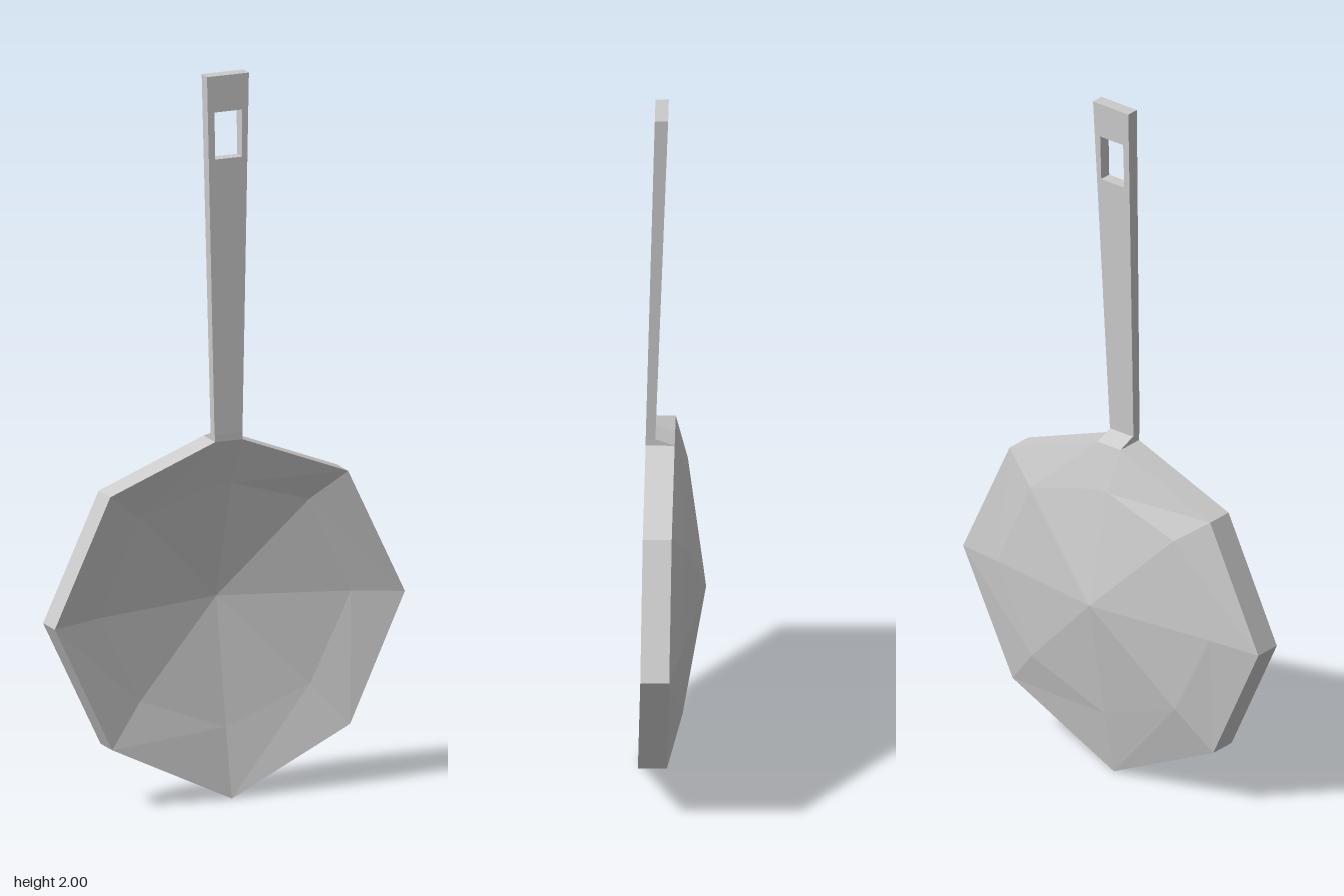
import * as THREE from 'three';

const material = () => new THREE.MeshStandardMaterial({ color: 0xcccccc, flatShading: true, side: THREE.DoubleSide });
const DEPTH = 0.078;

// Half outlines from the bottom tip up the +x side, as [x, y, back z]
const rimHalf = [[0, 0, 0.015], [0.35, 0.17, 0.011], [0.515, 0.52, 0.002], [0.35, 0.87, -0.002], [0.04, 0.99, -0.005]];
const ringHalf = [[0, 0.19, -0.025], [0.25, 0.285, -0.03], [0.37, 0.53, -0.027], [0.25, 0.795, -0.036], [0.02, 0.865, -0.035]];
const mirrored = half => [...half, ...half.slice(1).reverse().map(([x, y, z]) => [-x, y, z])];
const shifted = loop => loop.map(([x, y, z]) => [x, y, z + DEPTH]);

// Faceted shallow bowl: back centre, ring and rim, then front rim, ring and centre
function bowlGeometry() {
  const rim = mirrored(rimHalf), ring = mirrored(ringHalf);
  const centre = rim.map(() => [0, 0.54, -0.089]);
  const loops = [centre, ring, rim, shifted(rim), shifted(ring), shifted(centre)];
  const n = rim.length, pos = [];
  for (let l = 0; l < loops.length - 1; l++) {
    for (let i = 0; i < n; i++) {
      const j = (i + 1) % n;
      const a = loops[l][i], b = loops[l][j], c = loops[l + 1][j], d = loops[l + 1][i];
      if (l > 0) pos.push(...a, ...b, ...c);
      if (l === 0) pos.push(...a, ...b, ...c, ...a, ...c, ...d);
      else pos.push(...a, ...c, ...d);
    }
  }
  // Drop the zero-area triangles at the centres
  const out = [];
  const tri = new THREE.Triangle();
  for (let k = 0; k < pos.length; k += 9) {
    tri.a.fromArray(pos, k); tri.b.fromArray(pos, k + 3); tri.c.fromArray(pos, k + 6);
    if (tri.getArea() > 1e-7) out.push(...pos.slice(k, k + 9));
  }
  const g = new THREE.BufferGeometry();
  g.setAttribute('position', new THREE.Float32BufferAttribute(out, 3));
  g.computeVertexNormals();
  return g;
}

// Flat tapering handle with a hanging hole, leaning back towards the top
function handleGeometry() {
  const points = list => list.map(([x, y]) => new THREE.Vector2(x, y));
  const shape = new THREE.Shape(points([[-0.042, 1.01], [0.04, 1.01], [0.07, 2], [-0.053, 2]]));
  shape.holes.push(new THREE.Path(points([[-0.032, 1.77], [-0.032, 1.9], [0.048, 1.9], [0.048, 1.77]])));
  const g = new THREE.ExtrudeGeometry(shape, { depth: 1, bevelEnabled: false });
  const p = g.attributes.position;
  for (let i = 0; i < p.count; i++) {
    const t = (p.getY(i) - 1.01) / 0.99;
    const back = THREE.MathUtils.lerp(0.047, 0.012, t), front = THREE.MathUtils.lerp(0.073, 0.048, t);
    p.setZ(i, p.getZ(i) > 0.5 ? front : back);
  }
  g.computeVertexNormals();
  return g;
}

// Wedge joining the flat top of the rim to the handle
function neckGeometry() {
  const g = new THREE.BoxGeometry(0.08, 0.02, DEPTH);
  g.translate(0, 1, 0.034);
  const p = g.attributes.position;
  for (let i = 0; i < p.count; i++) {
    if (p.getY(i) > 1 && p.getZ(i) < 0.03) p.setZ(i, 0.047);
  }
  g.computeVertexNormals();
  return g;
}

export function createModel() {
  const group = new THREE.Group();
  const parts = { bowl: bowlGeometry(), neck: neckGeometry(), handle: handleGeometry() };
  for (const [name, geometry] of Object.entries(parts)) {
    const mesh = new THREE.Mesh(geometry, material());
    mesh.name = name;
    group.add(mesh);
  }
  return group;
}
